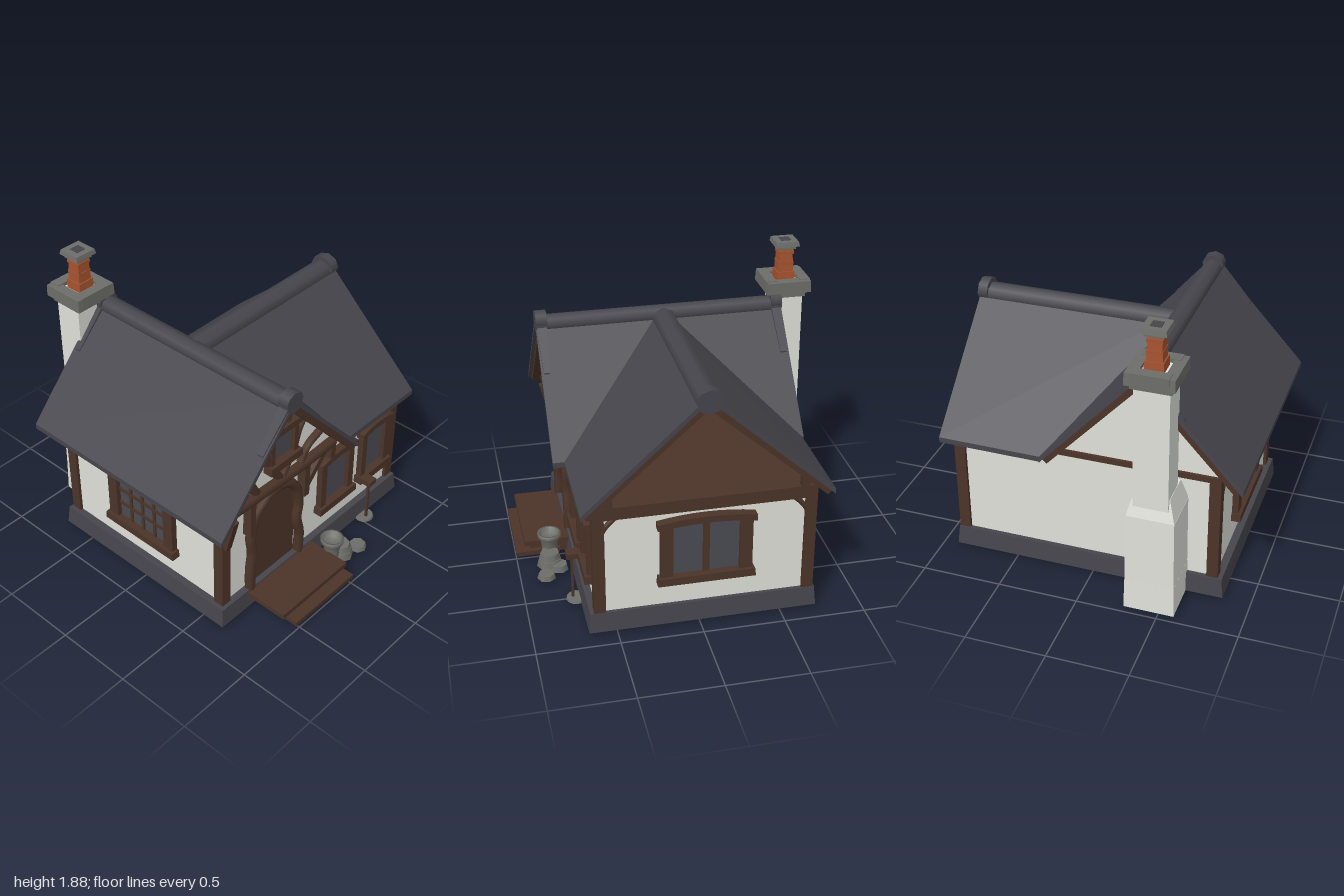
import * as THREE from 'three';

const mat = (name, color, side = THREE.FrontSide) => {
  const m = new THREE.MeshStandardMaterial({ color, side });
  m.name = name;
  return m;
};

export function createModel() {
  const house = new THREE.Group();
  house.name = 'cottage';
  const slate = mat('slate', 0x46454c);
  const plaster = mat('plaster', 0xdfe1d9);
  const timber = mat('timber', 0x4b3428, THREE.DoubleSide);
  const glass = mat('glass', 0x4b4b53);
  const stone = mat('stone', 0x6d6e69);
  const clay = mat('clay', 0xa5532f);
  const V = (p) => new THREE.Vector3(...p);

  const add = (name, geo, m, parent = house) => {
    const mesh = new THREE.Mesh(geo, m);
    mesh.name = name;
    parent.add(mesh);
    return mesh;
  };
  // Box given by its min and max corners; the top face may shrink by "taper"
  const box = (name, m, [x0, x1], [y0, y1], [z0, z1], taper = 1, parent = house) => {
    const g = new THREE.BoxGeometry(x1 - x0, y1 - y0, z1 - z0);
    const p = g.attributes.position;
    for (let i = 0; i < p.count; i++) {
      if (p.getY(i) > 0) p.setXYZ(i, p.getX(i) * taper, p.getY(i), p.getZ(i) * taper);
    }
    g.computeVertexNormals();
    const mesh = add(name, g, m, parent);
    mesh.position.set((x0 + x1) / 2, (y0 + y1) / 2, (z0 + z1) / 2);
    return mesh;
  };
  // Straight squared timber between two points
  const beam = (name, a, b, w, h, m = timber) => {
    const A = V(a), B = V(b);
    const mesh = add(name, new THREE.BoxGeometry(w, h, A.distanceTo(B)), m);
    mesh.position.copy(A).lerp(B, 0.5);
    mesh.lookAt(B);
    return mesh;
  };
  // Rough curved timber along a path
  const bough = (name, pts, r) =>
    add(name, new THREE.TubeGeometry(new THREE.CatmullRomCurve3(pts.map(V)), pts.length * 5, r, 7), timber);
  // Flat roof sheet: polygon on top, dropped by a thickness
  const slab = (name, pts, t = 0.035, m = slate) => {
    let top = pts.map(V);
    const n = top[1].clone().sub(top[0]).cross(top[2].clone().sub(top[0]));
    if (n.y < 0) top.reverse();
    const low = top.map((p) => p.clone().setY(p.y - t));
    const out = [];
    const tri = (...c) => c.forEach((p) => out.push(p.x, p.y, p.z));
    for (let i = 0; i < top.length; i++) {
      const j = (i + 1) % top.length;
      tri(top[i], low[i], low[j]);
      tri(top[i], low[j], top[j]);
      if (i > 0 && j > 0) {
        tri(top[0], top[i], top[j]);
        tri(low[0], low[j], low[i]);
      }
    }
    const g = new THREE.BufferGeometry();
    g.setAttribute('position', new THREE.Float32BufferAttribute(out, 3));
    g.computeVertexNormals();
    return add(name, g, m);
  };
  const panel = (name, pts, z, d, m) => {
    const g = new THREE.ExtrudeGeometry(new THREE.Shape(pts.map((p) => new THREE.Vector2(...p))), { depth: d, bevelEnabled: false });
    g.translate(0, 0, z);
    return add(name, g, m);
  };

  // Plinth, walls and attic floor
  box('plinth', slate, [-0.83, 0.9], [0.02, 0.145], [-0.72, 0.67], 0.985);
  box('walls', plaster, [-0.77, 0.865], [0.14, 0.84], [-0.68, 0.615]);
  box('atticFloor', timber, [-0.78, 0.87], [0.835, 0.86], [-0.69, 0.625]);

  // Corner posts and top plates
  for (const x of [-0.755, 0.85]) {
    for (const z of [-0.665, 0.6]) {
      box('cornerPost', timber, [x - 0.035, x + 0.035], [0.14, 0.85], [z - 0.035, z + 0.035]);
      const s = Math.sign(x), t = Math.sign(z);
      bough('cornerBrace', [[x + s * 0.02, 0.64, z], [x + s * 0.02, 0.72, z - t * 0.04], [x + s * 0.02, 0.81, z - t * 0.13]], 0.016);
    }
  }
  box('rightTopPlate', timber, [0.84, 0.89], [0.78, 0.86], [-0.69, 0.63]);
  box('leftTopPlate', timber, [-0.79, -0.75], [0.79, 0.86], [-0.69, 0.63]);
  box('frontTopPlate', timber, [0.1, 0.87], [0.825, 0.86], [0.6, 0.635]);
  box('backTopPlate', timber, [-0.78, 0.87], [0.825, 0.86], [-0.705, -0.67]);

  // Gable walls of the front-to-back roof
  const gable = [[-0.87, 0.85], [0.2, 0.85], [-0.335, 1.46]];
  panel('frontGable', gable, 0.61, 0.045, plaster);
  panel('backGable', gable, -0.685, 0.03, plaster);

  // Roof sheets: the cross wing meets the main ridge along two valleys
  const R = [-0.335, 1.53];
  slab('roofLeft', [[...R, -0.8], [...R, 0.77], [-0.94, 0.865, 0.77], [-0.94, 0.865, -0.8]]);
  slab('roofRightFront', [[...R, -0.03], [...R, 0.77], [0.29, 0.845, 0.77], [0.29, 0.845, 0.7]]);
  slab('roofRightBack', [[...R, -0.03], [...R, -0.8], [0.29, 0.845, -0.8], [0.29, 0.845, -0.79]]);
  slab('wingRoofFront', [[...R, -0.03], [0.935, 1.53, -0.03], [0.935, 0.85, 0.705], [0.29, 0.845, 0.7]]);
  slab('wingRoofBack', [[...R, -0.03], [0.935, 1.53, -0.03], [0.935, 0.85, -0.79], [0.29, 0.845, -0.79]]);

  // Ridge caps with raised end tiles
  const cap = (name, a, b, r) => {
    const g = new THREE.CylinderGeometry(r, r, V(a).distanceTo(V(b)), 8);
    g.rotateX(Math.PI / 2);
    const mesh = add(name, g, slate);
    mesh.position.copy(V(a)).lerp(V(b), 0.5);
    mesh.lookAt(V(b));
    mesh.scale.y = 0.85;
  };
  cap('mainRidge', [-0.335, 1.49, -0.8], [-0.335, 1.49, 0.77], 0.065);
  cap('wingRidge', [-0.3, 1.475, -0.035], [0.93, 1.475, -0.035], 0.075);
  cap('wingRidgeEnd', [0.88, 1.495, -0.035], [0.942, 1.495, -0.035], 0.085);
  for (const z of [0.735, -0.765]) {
    cap('mainRidgeEnd', [-0.335, 1.515, z - 0.035], [-0.335, 1.515, z + 0.035], 0.07);
    for (const s of [-1, 1]) {
      slab('edgeTiles', [[-0.335, 1.555, z - 0.035], [-0.335, 1.555, z + 0.035],
        [-0.335 + s * 0.25, 1.265, z + 0.02], [-0.335 + s * 0.25, 1.265, z - 0.02]], 0.03);
    }
  }

  // Barge rafters under the roof edges
  for (const z of [0.72, -0.76]) {
    beam('bargeLeft', [-0.91, 0.845, z], [-0.325, 1.485, z], 0.06, 0.055);
    beam('bargeRight', [0.265, 0.825, z], [-0.345, 1.485, z], 0.06, 0.055);
  }
  beam('wingBargeFront', [0.895, 0.825, 0.68], [0.895, 1.48, -0.04], 0.05, 0.05);
  beam('wingBargeBack', [0.895, 0.825, -0.765], [0.895, 1.48, -0.02], 0.05, 0.05);
  for (const z of [0.54, -0.62]) beam('gableStrut', [0.88, 0.85, z], [0.88, 0.96, z], 0.04, 0.05);

  // Front gable timbers
  const zg = 0.67;
  bough('gableTie', [[-0.8, 0.895, zg], [-0.5, 0.885, zg], [-0.15, 0.875, zg], [0.16, 0.885, zg]], 0.037);
  [
    [[-0.67, 1.13], [-0.6, 1.03], [-0.53, 0.9]],
    [[0.03, 1.04], [-0.08, 0.99], [-0.14, 0.9]],
    [[-0.41, 1.05], [-0.38, 0.98], [-0.33, 0.9]],
    [[-0.23, 1.05], [-0.26, 0.98], [-0.31, 0.9]],
    [[-0.54, 1.26], [-0.48, 1.18], [-0.43, 1.07]],
    [[-0.11, 1.26], [-0.17, 1.18], [-0.21, 1.07]],
    [[-0.41, 1.38], [-0.37, 1.33], [-0.35, 1.27]],
    [[-0.23, 1.38], [-0.27, 1.33], [-0.29, 1.27]],
  ].forEach((pts) => bough('gableBrace', pts.map(([x, y]) => [x, y, zg - 0.005]), 0.029));

  // Posts and braces carrying the gable tie
  beam('tiePostLeft', [-0.57, 0.6, 0.65], [-0.57, 0.87, 0.65], 0.045, 0.06);
  beam('tiePostRight', [-0.08, 0.6, 0.65], [-0.08, 0.87, 0.65], 0.045, 0.06);
  beam('tieBraceRight', [-0.08, 0.64, 0.65], [0.13, 0.86, 0.65], 0.035, 0.045);
  box('tieStub', timber, [0.115, 0.16], [0.78, 0.89], [0.62, 0.7]);
  beam('leftEaveBrace', [-0.76, 0.62, 0.64], [-0.76, 0.86, 0.7], 0.045, 0.04);

  // Arched door with a crooked frame
  const arch = [[-0.53, 0.14]];
  for (let i = 0; i <= 12; i++) {
    const a = Math.PI * (1 - i / 12);
    arch.push([-0.33 + 0.2 * Math.cos(a), 0.6 + 0.2 * Math.sin(a)]);
  }
  arch.push([-0.13, 0.14]);
  panel('door', arch, 0.615, 0.008, timber);
  bough('doorFrame', [[-0.55, 0.13], [-0.55, 0.28], [-0.535, 0.42], [-0.55, 0.55], [-0.51, 0.7], [-0.42, 0.785], [-0.33, 0.805],
    [-0.24, 0.785], [-0.15, 0.7], [-0.11, 0.55], [-0.125, 0.42], [-0.095, 0.28], [-0.1, 0.13]].map(([x, y]) => [x, y, 0.64]), 0.034);

  // Windows: pane, jambs, sill, lintel and glazing bars, facing +z before turning
  const windowAt = (name, [x, y, z], turn, w, h, post, { cols = 1, rows = 1, bow = 0.03 } = {}) => {
    const g = new THREE.Group();
    g.name = name;
    const W = w / 2, H = h / 2, L = W + post + 0.02;
    box('pane', glass, [-W, W], [-H, H + 0.02], [0, 0.009], 1, g);
    for (const s of [-1, 1]) {
      const c = s * (W + post / 2);
      box('jamb', timber, [c - post / 2, c + post / 2], [-H - 0.02, H + 0.02], [-0.01, 0.04], 1, g);
    }
    box('sill', timber, [-L, L], [-H - 0.05, -H], [-0.01, 0.06], 0.98, g);
    const s = new THREE.Shape();
    s.moveTo(-L, H);
    s.quadraticCurveTo(0, H + bow * 1.6, L, H);
    s.lineTo(L, H + 0.04);
    s.quadraticCurveTo(0, H + 0.045 + bow * 1.6, -L, H + 0.04);
    const lintel = new THREE.ExtrudeGeometry(s, { depth: 0.065, bevelEnabled: false, curveSegments: 8 });
    add('lintel', lintel, timber, g).position.z = -0.01;
    for (let i = 1; i < cols; i++) {
      const c = -W + (w * i) / cols, t = cols === 2 ? 0.02 : 0.01;
      box('glazingBar', timber, [c - t, c + t], [-H, H + 0.02], [0, 0.02], 1, g);
    }
    for (let i = 1; i < rows; i++) {
      const c = -H + (h * i) / rows;
      box('glazingBar', timber, [-W, W], [c - 0.01, c + 0.01], [0, 0.02], 1, g);
    }
    g.position.set(x, y, z);
    g.rotation.y = turn;
    house.add(g);
  };
  windowAt('frontWindowLarge', [0.26, 0.515, 0.615], 0, 0.22, 0.32, 0.05);
  windowAt('frontWindowSmall', [0.65, 0.515, 0.615], 0, 0.19, 0.32, 0.045);
  windowAt('rightWindow', [0.865, 0.52, -0.035], Math.PI / 2, 0.4, 0.33, 0.075, { cols: 2 });
  windowAt('leftWindow', [-0.77, 0.52, -0.035], -Math.PI / 2, 0.4, 0.33, 0.075, { cols: 4, rows: 3 });
  windowAt('gableWindow', [-0.32, 1.16, 0.656], 0, 0.17, 0.2, 0.035, { bow: 0 });

  // Chimney
  box('chimneyBase', plaster, [-0.6, -0.29], [0.02, 0.22], [-0.975, -0.67], 0.97);
  box('chimneyBody', plaster, [-0.595, -0.295], [0.22, 0.68], [-0.97, -0.67], 0.97);
  box('chimneyShoulder', plaster, [-0.59, -0.3], [0.68, 0.82], [-0.965, -0.675], 0.74);
  box('chimneyShaft', plaster, [-0.55, -0.34], [0.75, 1.56], [-0.955, -0.77]);
  box('chimneyCollar', stone, [-0.565, -0.325], [1.525, 1.57], [-0.97, -0.745]);
  const zc = -0.855;
  for (const s of [-1, 1]) {
    const cx = -0.445 + s * 0.11, cz = zc + s * 0.11;
    box('capStoneSide', stone, [cx - 0.035, cx + 0.035], [1.56, 1.635], [-1, -0.71], 0.97);
    box('capStoneEnd', stone, [-0.56, -0.33], [1.56, 1.64], [cz - 0.035, cz + 0.035], 0.97);
  }
  box('capBed', plaster, [-0.54, -0.35], [1.57, 1.615], [-0.95, -0.76]);
  box('potFoot', clay, [-0.5, -0.385], [1.6, 1.675], [zc - 0.058, zc + 0.058], 0.95);
  box('pot', clay, [-0.49, -0.395], [1.675, 1.84], [zc - 0.048, zc + 0.048], 0.85);
  for (const y of [1.72, 1.79]) box('potBand', clay, [-0.49, -0.395], [y, y + 0.02], [zc - 0.049, zc + 0.049]);
  box('potLip', stone, [-0.5, -0.385], [1.825, 1.85], [zc - 0.058, zc + 0.058]);
  box('potCap', stone, [-0.52, -0.365], [1.848, 1.878], [zc - 0.078, zc + 0.078], 0.92);
  box('potMouth', slate, [-0.475, -0.41], [1.876, 1.88], [zc - 0.033, zc + 0.033]);

  // Front steps
  box('upperStep', timber, [-0.59, 0.015], [0.1, 0.132], [0.62, 0.945]);
  box('lowerStep', timber, [-0.53, 0.02], [0.03, 0.06], [0.72, 1]);
  for (const x of [-0.5, -0.04]) box('stepBearer', timber, [x - 0.025, x + 0.025], [0.02, 0.1], [0.65, 0.91]);

  // Planter, stacked stones and stepping stone by the door
  const prof = [[0, 0.03], [0.045, 0.03], [0.05, 0.11], [0.055, 0.16], [0.075, 0.19], [0.075, 0.215], [0.06, 0.215], [0.05, 0.18], [0, 0.18]];
  add('planter', new THREE.LatheGeometry(prof.map((p) => new THREE.Vector2(...p)), 14), stone).position.set(0.06, 0, 0.79);
  [[0.14, 0.05, 0.8, 0.085, 0.05], [0.14, 0.1, 0.8, 0.07, 0.04], [0.27, 0.035, 0.84, 0.06, 0.03], [0.2, 0.045, 0.75, 0.06, 0.04]]
    .forEach(([x, y, z, r, h]) => add('fieldStone', new THREE.CylinderGeometry(r * 0.85, r, h, 7).toNonIndexed(), stone).position.set(x, y, z));

  // Standing post with a small head on a round foot
  add('postFoot', new THREE.CylinderGeometry(0.06, 0.065, 0.015, 12), stone).position.set(0.53, 0.0275, 0.69);
  box('gardenPost', timber, [0.518, 0.532], [0, 0.35], [0.703, 0.719]);
  box('postHead', timber, [0.49, 0.56], [0.325, 0.36], [0.67, 0.745]);

  return house;
}
